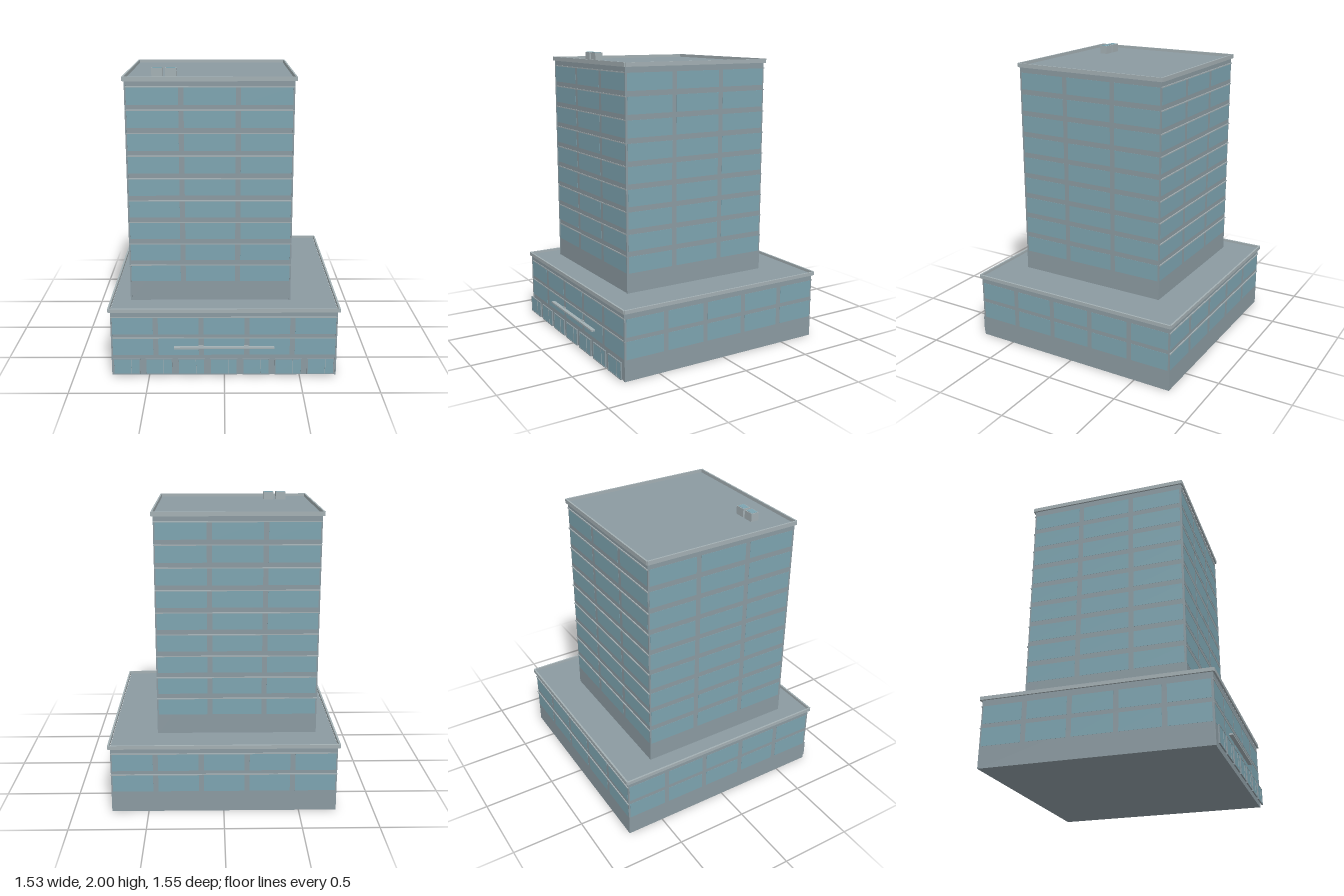
import * as THREE from 'three';

const wallMat = new THREE.MeshStandardMaterial({ color: 0x8b9aa1 });
const trimMat = new THREE.MeshStandardMaterial({ color: 0xa3afb3 });
const glassMat = new THREE.MeshStandardMaterial({ color: 0x7da4b0 });

// Box given by its minimum and maximum corners
function box(parent, name, [x0, y0, z0], [x1, y1, z1], mat) {
  const mesh = new THREE.Mesh(new THREE.BoxGeometry(x1 - x0, y1 - y0, z1 - z0), mat);
  mesh.position.set((x0 + x1) / 2, (y0 + y1) / 2, (z0 + z1) / 2);
  mesh.name = name;
  parent.add(mesh);
  return mesh;
}

// Grid of panes on all four walls, plus floor ledges on front and back
function addFacades(parent, b, tops, columns, paneHeight) {
  const w = b.x1 - b.x0, d = b.z1 - b.z0;
  const cx = (b.x0 + b.x1) / 2, cz = (b.z0 + b.z1) / 2;
  const sides = [
    ['front', 0, w, d], ['right', Math.PI / 2, d, w],
    ['back', Math.PI, w, d], ['left', -Math.PI / 2, d, w],
  ];
  for (const [name, angle, width, depth] of sides) {
    const facade = new THREE.Group();
    facade.name = name + 'Facade';
    facade.position.set(cx, 0, cz);
    facade.rotation.y = angle;
    const edge = 0.01, gap = 0.034, z = depth / 2;
    const pane = (width - 2 * edge - gap * (columns - 1)) / columns;
    for (const top of tops) {
      for (let c = 0; c < columns; c++) {
        const x = -width / 2 + edge + c * (pane + gap);
        box(facade, 'window', [x, top - paneHeight, z - 0.002], [x + pane, top, z + 0.001], glassMat);
      }
      if (name === 'front' || name === 'back') {
        const out = name === 'back' ? 0.007 : 0.004;
        box(facade, 'floorLedge', [-width / 2, top - 0.002, z - 0.002], [width / 2, top + 0.005, z + out], trimMat);
      }
    }
    parent.add(facade);
  }
}

// Four overlapping bars around a roof edge
function addParapet(parent, b, y0, y1, out, inset) {
  const { x0, x1, z0, z1 } = b, e = out - 0.005;
  for (const [a, c] of [[z0 - out, z0 + inset], [z1 - inset, z1 + out]])
    box(parent, 'parapet', [x0 - e, y0, a], [x1 + e, y1, c], trimMat);
  for (const [a, c] of [[x0 - out, x0 + inset], [x1 - inset, x1 + out]])
    box(parent, 'parapet', [a, y0, z0 - e], [c, y1 - 0.001, z1 + e], trimMat);
}

// Slim posts at the two front corners
function addCornerPosts(parent, b, y0, y1) {
  for (const x of [b.x0, b.x1 - 0.01])
    box(parent, 'cornerPost', [x, y0, b.z1 - 0.004], [x + 0.01, y1, b.z1 + 0.004], wallMat);
}

// Framed glass entrance standing just in front of the wall
function addEntrance(parent, x) {
  const door = new THREE.Group();
  door.name = 'entrance';
  const w = 0.18, h = 0.116, t = 0.006;
  const frame = new THREE.Shape();
  frame.moveTo(0, 0).lineTo(w, 0).lineTo(w, h).lineTo(0, h).closePath();
  const hole = new THREE.Path();
  hole.moveTo(t, t).lineTo(t, h - t).lineTo(w - t, h - t).lineTo(w - t, t).closePath();
  frame.holes.push(hole);
  const mesh = new THREE.Mesh(new THREE.ExtrudeGeometry(frame, { depth: 0.009, bevelEnabled: false }), wallMat);
  mesh.name = 'entranceFrame';
  door.add(mesh);
  box(door, 'entranceGlass', [t, t, 0.002], [w - t, h - t, 0.007], glassMat);
  box(door, 'entranceMullion', [w * 0.66, t, 0.001], [w * 0.66 + 0.003, h - t, 0.009], trimMat);
  door.position.set(x, 0.012, 0.763);
  parent.add(door);
}

export function createModel() {
  const building = new THREE.Group();
  building.name = 'officeBuilding';

  // Podium
  const podium = new THREE.Group();
  podium.name = 'podium';
  building.add(podium);
  const pb = { x0: -0.75, x1: 0.745, z0: -0.758, z1: 0.748 };
  box(podium, 'podiumBody', [pb.x0, 0, pb.z0], [pb.x1, 0.46, pb.z1], wallMat);
  addFacades(podium, pb, [0.412, 0.264], 5, 0.12);
  addCornerPosts(podium, pb, 0, 0.455);
  addParapet(podium, pb, 0.452, 0.477, 0.016, -0.004);

  // Street front: seven entrances and a canopy
  for (let i = 0; i < 7; i++) addEntrance(podium, -0.738 + i * 0.2145);
  box(podium, 'canopy', [-0.333, 0.197, 0.745], [0.33, 0.208, 0.775], trimMat);
  for (const x of [-0.155, 0.145])
    box(podium, 'canopyBracket', [x - 0.015, 0.205, 0.745], [x + 0.015, 0.214, 0.755], trimMat);

  // Tower
  const tower = new THREE.Group();
  tower.name = 'tower';
  building.add(tower);
  const tb = { x0: -0.632, x1: 0.446, z0: -0.519, z1: 0.563 };
  box(tower, 'towerBody', [tb.x0, 0.45, tb.z0], [tb.x1, 1.942, tb.z1], wallMat);
  const floors = Array.from({ length: 9 }, (_, i) => 0.708 + i * 0.1487);
  addFacades(tower, tb, floors, 3, 0.113);
  addCornerPosts(tower, tb, 0.45, 1.94);
  addParapet(tower, tb, 1.935, 1.963, 0.014, -0.003);

  // Rooftop units
  for (const x of [-0.472, -0.382]) {
    box(tower, 'rooftopUnit', [x, 1.94, 0.34], [x + 0.072, 1.998, 0.396], trimMat);
    box(tower, 'rooftopUnitLid', [x + 0.006, 1.99, 0.346], [x + 0.066, 2, 0.39], glassMat);
  }
  return building;
}
